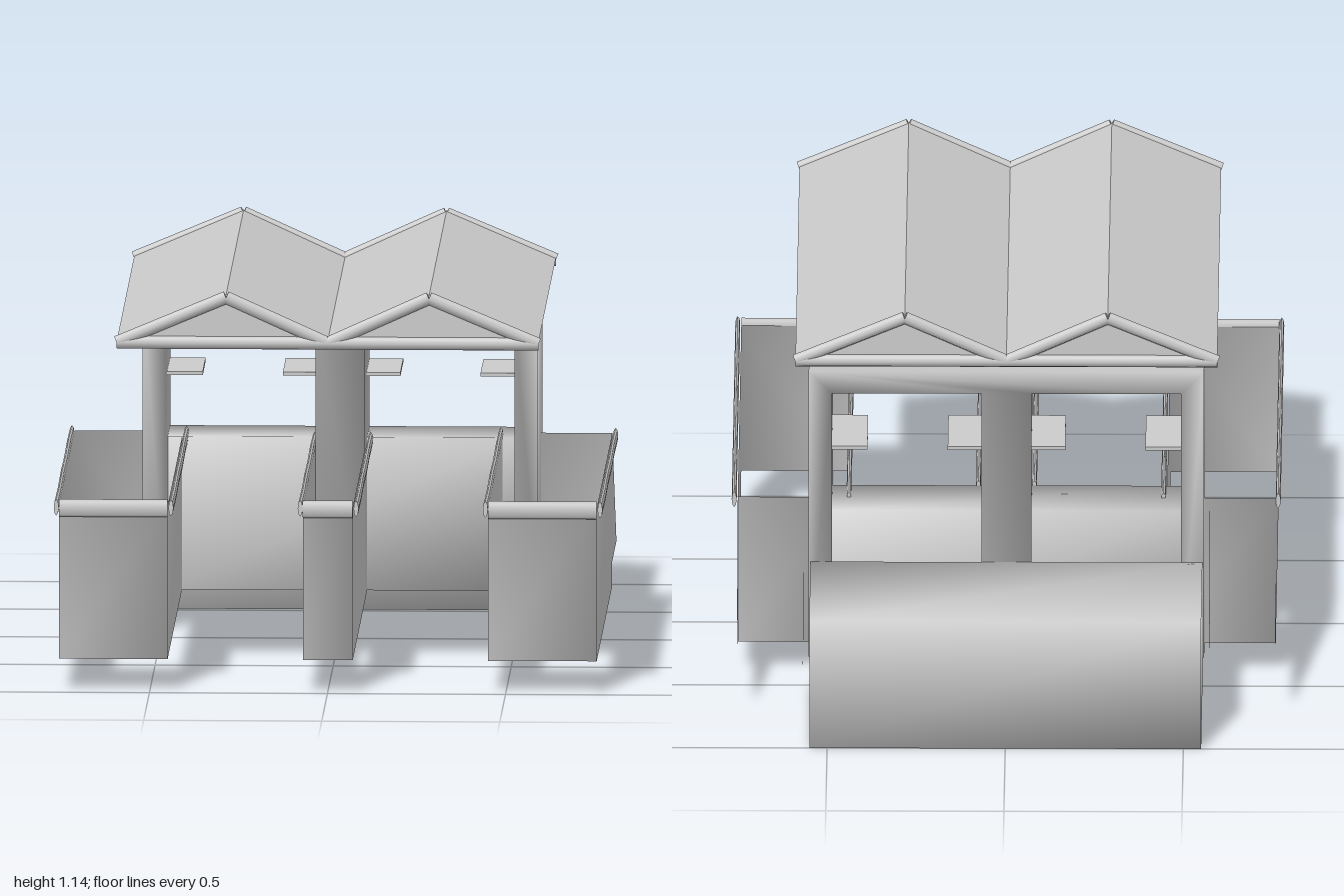
import * as THREE from 'three';
import { mergeVertices } from 'three/addons/utils/BufferGeometryUtils.js';

const mat = new THREE.MeshStandardMaterial({ color: 0xcccccc, side: THREE.DoubleSide });

// share corner vertices so shading runs smoothly across the edges
function soften(geo) {
  geo.deleteAttribute('normal');
  geo.deleteAttribute('uv');
  const g = mergeVertices(geo, 1e-4);
  g.computeVertexNormals();
  return g;
}

export function createModel() {
  const root = new THREE.Group();

  function add(parent, name, geo) {
    const m = new THREE.Mesh(geo, mat);
    m.name = name;
    parent.add(m);
    return m;
  }
  // box given by its limits on each axis
  function box(parent, name, [x0, x1], [y0, y1], [z0, z1], smooth = false) {
    let g = new THREE.BoxGeometry(x1 - x0, y1 - y0, z1 - z0);
    if (smooth) g = soften(g);
    g.translate((x0 + x1) / 2, (y0 + y1) / 2, (z0 + z1) / 2);
    return add(parent, name, g);
  }
  // eight-sided rounded bar between two points, flattened across x or z
  function bar(parent, name, a, b, height, depth) {
    const dir = new THREE.Vector3().subVectors(b, a);
    const g = new THREE.CylinderGeometry(0.5, 0.5, dir.length(), 8);
    const m = add(parent, name, g);
    const along = dir.clone().normalize();
    const flat = Math.abs(along.z) > 0.5 ? new THREE.Vector3(1, 0, 0) : new THREE.Vector3(0, 0, 1);
    const tall = new THREE.Vector3().crossVectors(along, flat);
    m.quaternion.setFromRotationMatrix(new THREE.Matrix4().makeBasis(tall, along, flat));
    m.scale.set(height, 1, depth);
    m.position.addVectors(a, b).multiplyScalar(0.5);
    return m;
  }
  const V = (x, y, z) => new THREE.Vector3(x, y, z);

  // rear base block
  box(root, 'rearBase', [-0.55, 0.55], [0, 0.38], [-1, -0.525], true);

  // open-ended pier: four walls and a segmented rim
  function pier(name, x0, x1, zBack) {
    const g = new THREE.Group();
    g.name = name;
    const y0 = 0.09, y1 = 0.525, zf = 0.965;
    const walls = new THREE.BoxGeometry(x1 - x0, y1 - y0, zf - zBack);
    const idx = Array.from(walls.index.array);
    idx.splice(12, 12); // leave out top and bottom
    walls.setIndex(idx);
    const w = soften(walls);
    w.translate((x0 + x1) / 2, (y0 + y1) / 2, (zf + zBack) / 2);
    add(g, name + 'Walls', w);
    bar(g, name + 'FrontRim', V(x0, 0.52, 0.975), V(x1, 0.52, 0.975), 0.05, 0.02);
    const count = 5, len = (0.985 - zBack) / count;
    for (const x of [x0 - 0.007, x1 + 0.01]) {
      for (let i = 0; i < count; i++) {
        const z = 0.985 - i * len, tilt = i % 2 ? -0.003 : 0.003;
        bar(g, name + 'SideRim', V(x, 0.52 + tilt, z), V(x, 0.52 - tilt, z - len), 0.046, 0.014);
      }
    }
    root.add(g);
  }
  pier('leftPier', 0.45, 0.755, -0.395);
  pier('rightPier', -0.755, -0.45, -0.395);
  pier('centrePier', -0.07, 0.07, -0.3);

  // cross block joining the piers
  box(root, 'crossBlock', [-0.49, 0.49], [0.09, 0.525], [-0.5, -0.3], true);

  // frame: three posts and a top beam cut from one outline
  const outline = [
    [-0.555, 0.095], [-0.49, 0.095], [-0.49, 0.885], [-0.07, 0.885], [-0.07, 0.095], [0.07, 0.095],
    [0.07, 0.885], [0.49, 0.885], [0.49, 0.095], [0.555, 0.095], [0.555, 0.95], [-0.555, 0.95],
  ].map(([x, y]) => new THREE.Vector2(x, y));
  const frame = new THREE.ExtrudeGeometry(new THREE.Shape(outline), { depth: 0.405, bevelEnabled: false });
  frame.translate(0, 0, -0.525);
  add(root, 'archFrame', soften(frame));

  for (const s of [-1, 1]) {
    // shelves inside each arch
    for (const [a, b] of [[0.07, 0.165], [0.39, 0.49]]) {
      box(root, 'shelf', s > 0 ? [a, b] : [-b, -a], [0.707, 0.717], [-0.5, -0.25]);
    }
    // triangular fins behind the side piers
    for (const x of [0.57, 0.755]) {
      const tri = new THREE.Shape([[0.395, 0.53], [0.395, 0.16], [0.77, 0.16]].map(([u, v]) => new THREE.Vector2(u, v)));
      const g = new THREE.ShapeGeometry(tri);
      g.rotateY(Math.PI / 2); // outline x runs towards the back
      g.translate(s * x, 0, 0);
      add(root, 'rearFin', g);
    }

    // gabled roof half
    const roof = new THREE.Group();
    roof.name = s > 0 ? 'leftRoof' : 'rightRoof';
    root.add(roof);
    const ridge = s * 0.285;
    for (const eave of [0, s * 0.592]) {
      const dx = eave - ridge, dy = 0.998 - 1.13;
      const slope = new THREE.PlaneGeometry(Math.hypot(dx, dy), 1.54);
      slope.rotateX(-Math.PI / 2);
      slope.rotateZ(Math.atan2(dy, dx));
      slope.translate((eave + ridge) / 2, (0.998 + 1.13) / 2, 0.215);
      add(roof, 'roofSlope', slope);
    }
    for (const z of [-0.55, 0.985]) {
      const l = V(0, 0.993, z), r = V(s * 0.592, 0.993, z), top = V(ridge, 1.122, z);
      bar(roof, 'gableTrim', l, top, 0.036, 0.026);
      bar(roof, 'gableTrim', top, r, 0.036, 0.026);
      bar(roof, 'gableChord', l, r, 0.036, 0.026);
      const panel = new THREE.ShapeGeometry(new THREE.Shape([l, r, top].map((p) => new THREE.Vector2(p.x, p.y))));
      panel.translate(0, 0, z);
      add(roof, 'gablePanel', panel);
    }
  }
  return root;
}
